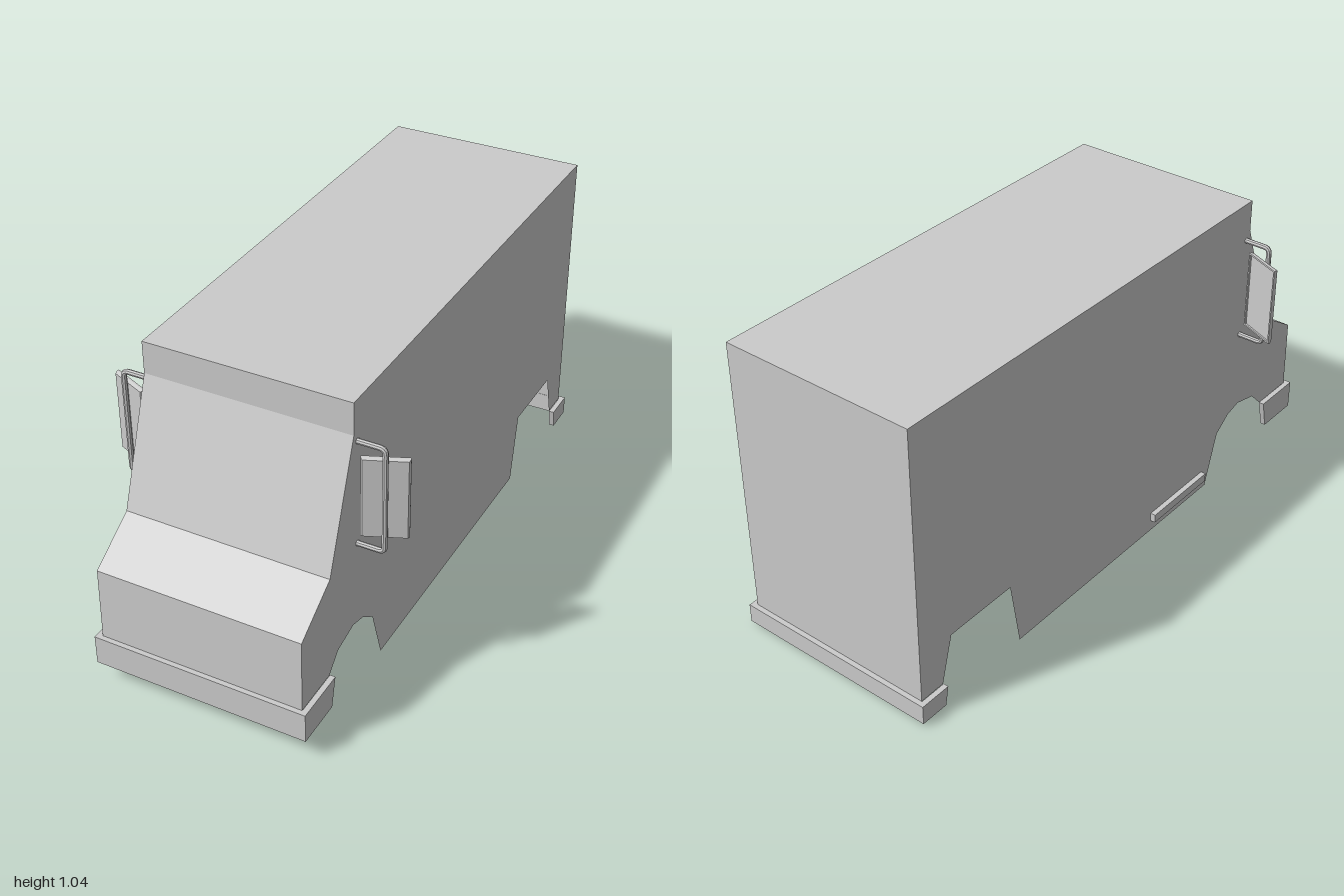
import * as THREE from 'three';

const W = 0.342; // half width of the body
const mat = new THREE.MeshStandardMaterial({ color: 0xcccccc, flatShading: true });
const shellMat = new THREE.MeshStandardMaterial({ color: 0xcccccc, flatShading: true, side: THREE.DoubleSide });

// Outline points are [z, y]
const shapeOf = (pts) => new THREE.Shape(pts.map(([a, b]) => new THREE.Vector2(a, b)));

function add(parent, name, geometry, x = 0, y = 0, z = 0, material = mat) {
  const mesh = new THREE.Mesh(geometry, material);
  mesh.name = name;
  mesh.position.set(x, y, z);
  parent.add(mesh);
  return mesh;
}

// Sheet that spans the body width along a profile
function sheet(profile) {
  const pos = [];
  for (let i = 0; i < profile.length - 1; i++) {
    const [az, ay] = profile[i], [bz, by] = profile[i + 1];
    pos.push(-W, ay, az, -W, by, bz, W, by, bz, -W, ay, az, W, by, bz, W, ay, az);
  }
  const g = new THREE.BufferGeometry();
  g.setAttribute('position', new THREE.Float32BufferAttribute(pos, 3));
  g.computeVertexNormals();
  return g;
}

// Thin plate in the z-y plane, centred on x = 0
function sidePlate(pts, thickness) {
  const g = new THREE.ExtrudeGeometry(shapeOf(pts), { depth: thickness, bevelEnabled: false });
  return g.rotateY(-Math.PI / 2).translate(thickness / 2, 0, 0);
}

function createBody() {
  const body = new THREE.Group();
  body.name = 'body';
  // Tail, roof, brow, windscreen, bonnet and nose
  const upper = [[-0.983, 0.08], [-0.983, 1.04], [0.665, 1.04], [0.665, 0.932],
    [0.81, 0.53], [0.978, 0.423], [0.984, 0.175]];
  // Front wheel arch, sill and rear wheel arch
  const lower = [[0.82, 0.175], [0.765, 0.23], [0.67, 0.252], [0.61, 0.236], [0.545, 0.188],
    [0.487, 0.003], [-0.535, 0.003], [-0.577, 0.24], [-0.846, 0.24], [-0.89, 0.08]];
  add(body, 'bodyPanels', sheet(upper), 0, 0, 0, shellMat);
  for (const s of [1, -1]) {
    const side = new THREE.ShapeGeometry(shapeOf([...upper, ...lower])).rotateY(-Math.PI / 2);
    add(body, s > 0 ? 'leftSide' : 'rightSide', side, s * W, 0, 0, shellMat);
  }
  return body;
}

// Wrap-around bumper: a cross bar and two raked end plates
function createBumper(name, dir, y0, y1, topEnd, bottomEnd) {
  const bumper = new THREE.Group();
  bumper.name = name;
  const t = 0.018;
  add(bumper, 'crossBar', new THREE.BoxGeometry(0.722, y1 - y0, t), 0, (y0 + y1) / 2, dir * (1 - t / 2));
  const inner = 1 - t;
  const pts = [[dir * inner, y0], [dir * inner, y1], [dir * topEnd, y1], [dir * bottomEnd, y0]];
  for (const s of [1, -1]) add(bumper, 'endPlate', sidePlate(pts, t), s * (0.361 - t / 2), 0, 0);
  return bumper;
}

function createMirror(s) {
  const mirror = new THREE.Group();
  mirror.name = s > 0 ? 'leftMirror' : 'rightMirror';
  // Bracket: a bent tube rising from two points on the side wall
  const v = (x, y) => new THREE.Vector3(s * x, y, 0.645);
  const path = new THREE.CurvePath();
  path.add(new THREE.LineCurve3(v(0.338, 0.545), v(0.412, 0.545)));
  path.add(new THREE.QuadraticBezierCurve3(v(0.412, 0.545), v(0.43, 0.545), v(0.43, 0.563)));
  path.add(new THREE.LineCurve3(v(0.43, 0.563), v(0.43, 0.885)));
  path.add(new THREE.QuadraticBezierCurve3(v(0.43, 0.885), v(0.43, 0.903), v(0.412, 0.903)));
  path.add(new THREE.LineCurve3(v(0.412, 0.903), v(0.338, 0.903)));
  add(mirror, 'bracket', new THREE.TubeGeometry(path, 80, 0.009, 8), 0, 0, 0, shellMat);

  // Housing: tapered front shell with a rim around the recessed glass
  const head = new THREE.Group();
  head.name = 'mirrorHead';
  head.position.set(s * 0.422, 0.723, 0.627);
  head.rotation.y = s * 0.4;
  mirror.add(head);
  const w = 0.142, h = 0.275;
  const shell = new THREE.BoxGeometry(w, h, 0.01);
  const p = shell.attributes.position;
  for (let i = 0; i < p.count; i++) {
    if (p.getZ(i) > 0) p.setXY(i, p.getX(i) * 0.92, p.getY(i) * 0.97);
  }
  add(head, 'housing', shell, 0, 0, 0.005);
  const rect = (a, b) => [[-a, -b], [a, -b], [a, b], [-a, b]];
  const rim = shapeOf(rect(w / 2, h / 2));
  rim.holes.push(shapeOf(rect(w / 2 - 0.006, h / 2 - 0.006)));
  add(head, 'rim', new THREE.ExtrudeGeometry(rim, { depth: 0.006, bevelEnabled: false }), 0, 0, -0.006);
  return mirror;
}

export function createModel() {
  const van = new THREE.Group();
  van.name = 'van';
  van.add(createBody());
  van.add(createBumper('frontBumper', 1, 0.075, 0.176, 0.818, 0.84));
  van.add(createBumper('rearBumper', -1, 0.014, 0.08, 0.888, 0.9));
  for (const s of [1, -1]) van.add(createMirror(s));
  // Low step on the right sill
  add(van, 'sideStep', new THREE.BoxGeometry(0.02, 0.03, 0.3), -0.35, 0.06, 0.31);
  return van;
}
